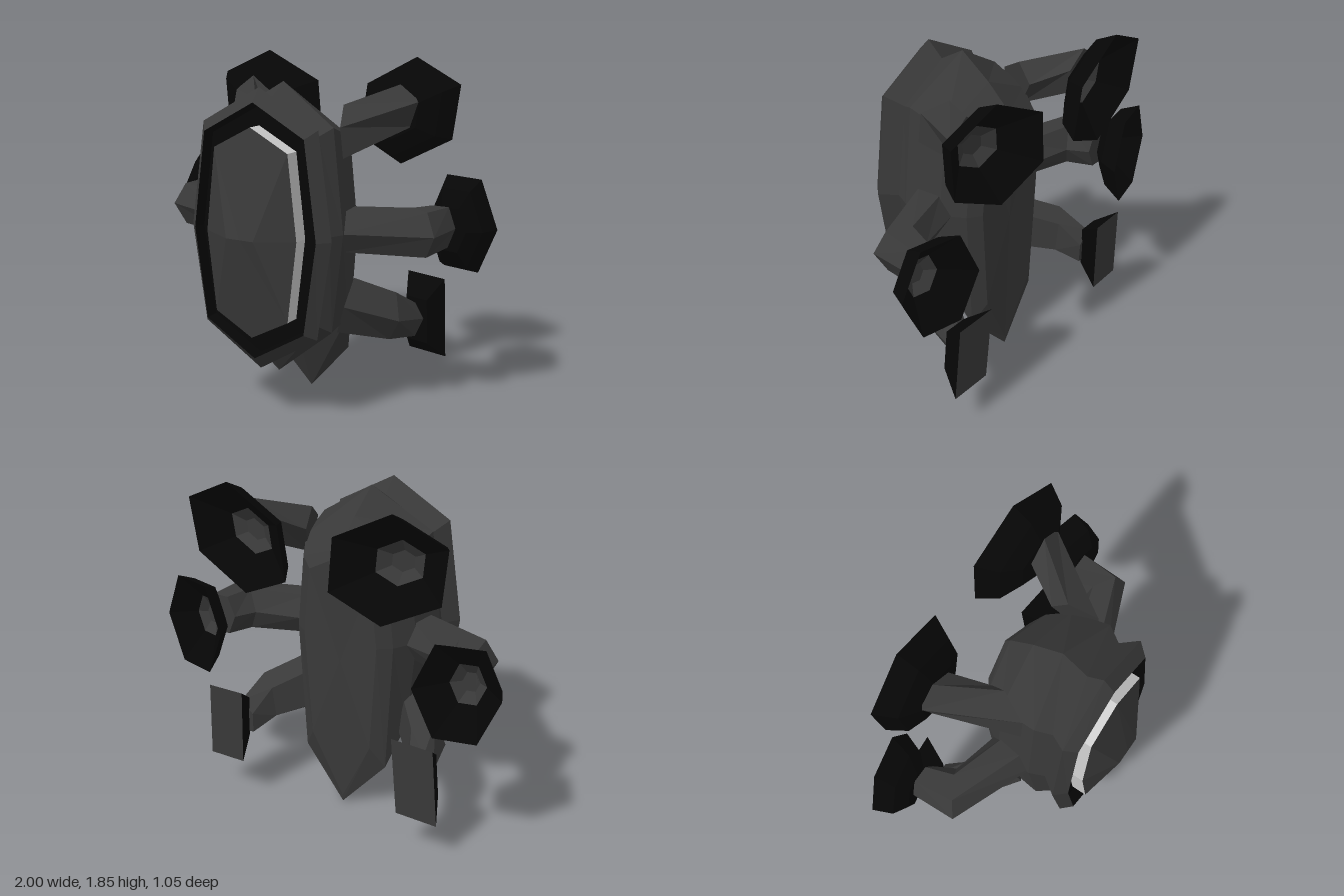
import * as THREE from 'three';

const paint = (color) => new THREE.MeshStandardMaterial({ color, flatShading: true, side: THREE.DoubleSide });
const hullPaint = paint(0x393939);
const blackPaint = paint(0x060606);
const trimPaint = paint(0xcccccc);

const centre = (ring) => ring
  .reduce((s, p) => s.map((v, k) => v + p[k]), [0, 0, 0])
  .map((v) => v / ring.length);

// Faceted skin through rings of equal count, with optional fan caps, turned outward
function loft(name, rings, material, capStart = true, capEnd = true) {
  const tris = [];
  const n = rings[0].length;
  const first = rings[0], last = rings[rings.length - 1];
  for (let i = 0; i < n; i++) {
    const j = (i + 1) % n;
    for (let r = 0; r + 1 < rings.length; r++) {
      const [a, b, c, d] = [rings[r][i], rings[r][j], rings[r + 1][j], rings[r + 1][i]];
      tris.push([a, b, c], [a, c, d]);
    }
    if (capStart) tris.push([first[j], first[i], centre(first)]);
    if (capEnd) tris.push([last[i], last[j], centre(last)]);
  }
  const mid = new THREE.Vector3(...centre(rings.flat()));
  let volume = 0;
  for (const t of tris) {
    const [a, b, c] = t.map((p) => new THREE.Vector3(...p).sub(mid));
    volume += a.dot(b.cross(c));
  }
  if (volume < 0) tris.forEach((t) => t.reverse());
  const geometry = new THREE.BufferGeometry();
  geometry.setAttribute('position', new THREE.Float32BufferAttribute(tris.flat(2), 3));
  geometry.computeVertexNormals();
  const mesh = new THREE.Mesh(geometry, material);
  mesh.name = name;
  return mesh;
}

// Polygon with the given number of sides, spanned by half-axes u and v
function polygon(sides, c, u, v) {
  return Array.from({ length: sides }, (_, i) => {
    const a = (i / sides) * Math.PI * 2;
    return c.map((m, k) => m + u[k] * Math.cos(a) + v[k] * Math.sin(a));
  });
}

// Ring scaled about its centre and moved along z
function inset(ring, scale, dz) {
  const c = centre(ring);
  return ring.map((p) => p.map((v, k) => c[k] + (v - c[k]) * scale + (k === 2 ? dz : 0)));
}

// Symmetric eight-sided hull section
function section(top, zTop, corner, up, side, zSide, low, bottom, zBottom) {
  const right = [[corner, up, zSide], [side, 1, zSide], [corner, low, zSide]];
  const left = right.map(([x, y, z]) => [-x, y, z]).reverse();
  return [[0, top, zTop], ...right, [0, bottom, zBottom], ...left];
}

// Flat section parallel to the front rim, drawn in by d
const rim = (z, d) => section(1.74 - d, z, 0.34 - 0.65 * d, 1.55 - 0.6 * d, 0.42 - 0.8 * d, z, 0.48 + 0.5 * d, 0.27 + d, z);

// Thruster bell, either a deep cup or closed by a flat plate
function bell(name, mouth, hollow) {
  const group = new THREE.Group();
  group.name = name;
  if (hollow) {
    const throat = inset(mouth, 0.42, 0.13);
    const shell = [inset(mouth, 0.46, 0.17), inset(mouth, 0.8, 0.11), mouth, throat];
    group.add(loft('bellShell', shell, blackPaint, true, false));
    group.add(loft('bellThroat', [throat, inset(mouth, 0.2, 0.165)], hullPaint, false, true));
  } else {
    group.add(loft('bellShell', [inset(mouth, 0.55, 0.13), mouth], blackPaint, true, false));
    group.add(loft('bellPlate', [mouth, inset(mouth, 0.5, 0)], hullPaint, false, true));
  }
  return group;
}

// Each arm section and bell mouth is a centre with two half-axes
const limbs = [
  {
    name: 'upper', armSides: 5, bellSides: 6,
    arm: [
      [[0.3, 1.49, -0.01], [-0.03, 0.14, -0.04], [0.04, 0, 0.12]],
      [[0.46, 1.6, -0.32], [0, 0.12, 0], [0.12, 0, 0]],
    ],
    mouth: [[0.43, 1.56, -0.492], [0.035, 0.29, -0.012], [0.335, 0.017, 0.035]],
  },
  {
    name: 'middle', armSides: 6, bellSides: 6,
    arm: [
      [[0.345, 1, 0.03], [0.015, 0, 0.13], [0, 0.125, 0]],
      [[0.695, 1, -0.09], [0.115, 0, 0.07], [0, 0.135, 0]],
      [[0.73, 1, -0.27], [0.09, 0, 0], [0, 0.125, 0]],
    ],
    mouth: [[0.785, 0.99, -0.44], [0.215, 0, 0.05], [0, 0.29, 0]],
  },
  {
    name: 'lower', armSides: 5, bellSides: 4,
    arm: [
      [[0.32, 0.58, -0.01], [0.05, 0.155, 0.01], [0.02, -0.04, 0.09]],
      [[0.495, 0.51, -0.18], [0.045, 0.13, 0.02], [0.075, -0.055, 0.06]],
      [[0.55, 0.44, -0.34], [0.02, 0.1, 0], [0.07, -0.01, 0.01]],
    ],
    mouth: [[0.583, 0.45, -0.463], [-0.125, 0.225, -0.015], [0.1, 0.21, 0]],
  },
];

export function createModel() {
  const model = new THREE.Group();
  model.name = 'escapePod';

  // Hull from the front rim to the back, with the tail spike at the lower end
  const front = rim(0.39, 0.07);
  const hull = [
    front,
    rim(0.33, 0),
    rim(0.24, 0.08),
    section(1.75, 0.1, 0.33, 1.54, 0.39, 0.16, 0.47, 0.2, 0.15),
    section(1.63, -0.07, 0.31, 1.47, 0.36, -0.05, 0.5, 0.37, -0.03),
    section(1.5, -0.21, 0.25, 1.4, 0.29, -0.17, 0.28, 0, -0.2),
    section(1.46, -0.24, 0.18, 1.36, 0.22, -0.22, 0.4, 0.04, -0.205),
  ];
  model.add(loft('hull', hull, hullPaint, false, true));

  // Front window standing in a dark recessed channel, with a pale edge and faceted pane
  const sill = rim(0.33, 0.19);
  const glass = rim(0.415, 0.19);
  const ridge = glass.map(([x]) => [THREE.MathUtils.clamp(x, -0.08, 0.08), 1, 0.52]);
  model.add(loft('windowChannel', [front, rim(0.33, 0.09), sill], blackPaint, false, false));
  model.add(loft('windowEdge', [sill, glass], trimPaint, false, false));
  model.add(loft('windowPane', [glass, ridge], hullPaint, false, false));

  // Three arms with thruster bells on each side
  for (const side of [1, -1]) {
    const mirror = (ring) => ring.map(([x, y, z]) => [side * x, y, z]);
    const label = side > 0 ? 'Left' : 'Right';
    for (const { name, armSides, bellSides, arm, mouth } of limbs) {
      const rings = arm.map((s) => mirror(polygon(armSides, ...s)));
      model.add(loft(`${name}Arm${label}`, rings, hullPaint));
      model.add(bell(`${name}Bell${label}`, mirror(polygon(bellSides, ...mouth)), bellSides === 6));
    }
  }
  return model;
}
